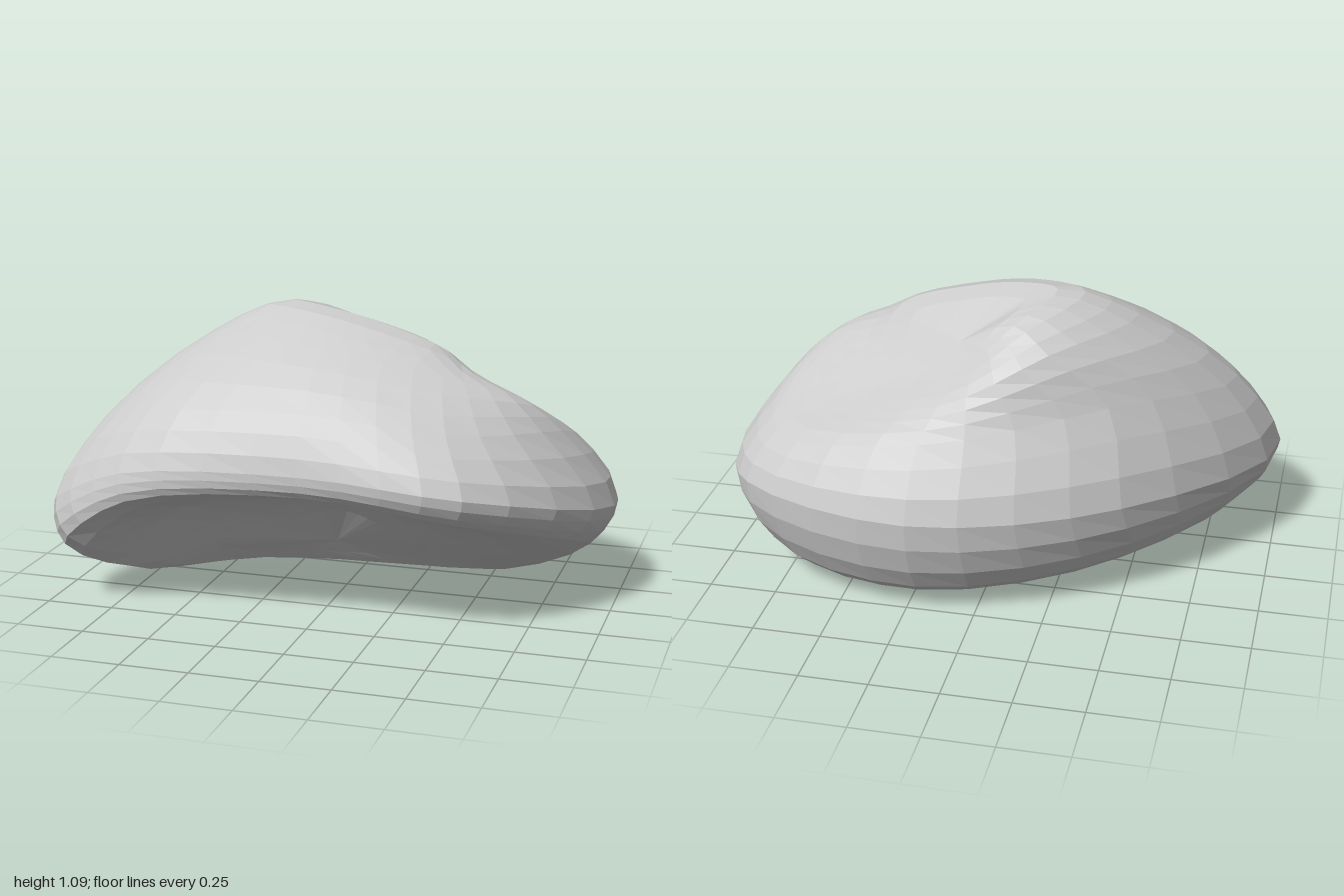
import * as THREE from 'three';

// Each ring has eight stations: left tip, three along the front, right, right back, back, left back.
const crownRings = [
  [[-.2, 1.09, 0], [-.05, 1.08, .06], [.15, 1.04, .08], [.4, .95, .08], [.44, .84, -.05], [.32, .79, -.2], [.1, .86, -.27], [-.08, 1.02, -.2]],
  [[-.48, .98, .1], [-.32, 1, .22], [0, .97, .29], [.42, .89, .25], [.66, .81, .1], [.62, .67, -.22], [.15, .77, -.38], [-.22, .95, -.27]],
  [[-.83, .68, .3], [-.58, .76, .48], [0, .79, .51], [.48, .73, .43], [.81, .68, .05], [.77, .58, -.32], [.2, .66, -.48], [-.43, .75, -.23]],
  [[-1, .37, .42], [-.66, .55, .6], [0, .59, .6], [.57, .54, .55], [.99, .38, -.08], [.87, .4, -.4], [.22, .41, -.615], [-.5, .41, -.33]],
];
const undersideRings = [
  [[-.93, .23, .49], [-.64, .45, .605], [0, .51, .575], [.53, .44, .51], [.9, .26, 0], [.8, .14, -.34], [.21, .11, -.52], [-.52, .15, -.18]],
  [[-.74, .11, .32], [-.5, .38, .38], [0, .46, .34], [.38, .4, .3], [.63, .19, .02], [.55, .03, -.27], [.2, .005, -.31], [-.36, .05, -.08]],
  [[-.47, .17, .16], [-.3, .29, .15], [-.02, .37, .1], [.2, .31, .07], [.3, .19, -.05], [.24, .09, -.18], [.02, .07, -.19], [-.26, .1, -.06]],
];
const topPole = new THREE.Vector3(.12, .93, -.17);
const hollowPole = new THREE.Vector3(-.07, .14, -.11);

const COLUMNS = 32, ROWS = 24;

// Sweep smooth lines from the crown, over the rim, into the hollow underneath.
function shellGeometry() {
  const rings = [...crownRings, ...undersideRings].map(points =>
    new THREE.CatmullRomCurve3(points.map(p => new THREE.Vector3(...p)), true));
  const vertices = [], index = [];
  for (let j = 0; j < COLUMNS; j++) {
    const line = new THREE.CatmullRomCurve3(
      [topPole, ...rings.map(ring => ring.getPoint(j / COLUMNS)), hollowPole]);
    for (let i = 0; i <= ROWS; i++) vertices.push(...line.getPoint(i / ROWS).toArray());
  }
  for (let j = 0; j < COLUMNS; j++) {
    for (let i = 0; i < ROWS; i++) {
      const a = j * (ROWS + 1) + i, c = ((j + 1) % COLUMNS) * (ROWS + 1) + i;
      if (i < ROWS - 1) index.push(a, a + 1, c + 1);
      if (i > 0) index.push(a, c + 1, c);
      if (i === ROWS - 1) index.push(a, a + 1, c);
    }
  }
  const geometry = new THREE.BufferGeometry();
  geometry.setAttribute('position', new THREE.Float32BufferAttribute(vertices, 3));
  geometry.setIndex(index);
  geometry.computeVertexNormals();
  return geometry;
}

export function createModel() {
  const model = new THREE.Group();
  model.name = 'hollowedStone';
  const material = new THREE.MeshStandardMaterial({ color: 0xcccccc, flatShading: true });
  const stone = new THREE.Mesh(shellGeometry(), material);
  stone.name = 'stoneBody';
  model.add(stone);
  return model;
}
